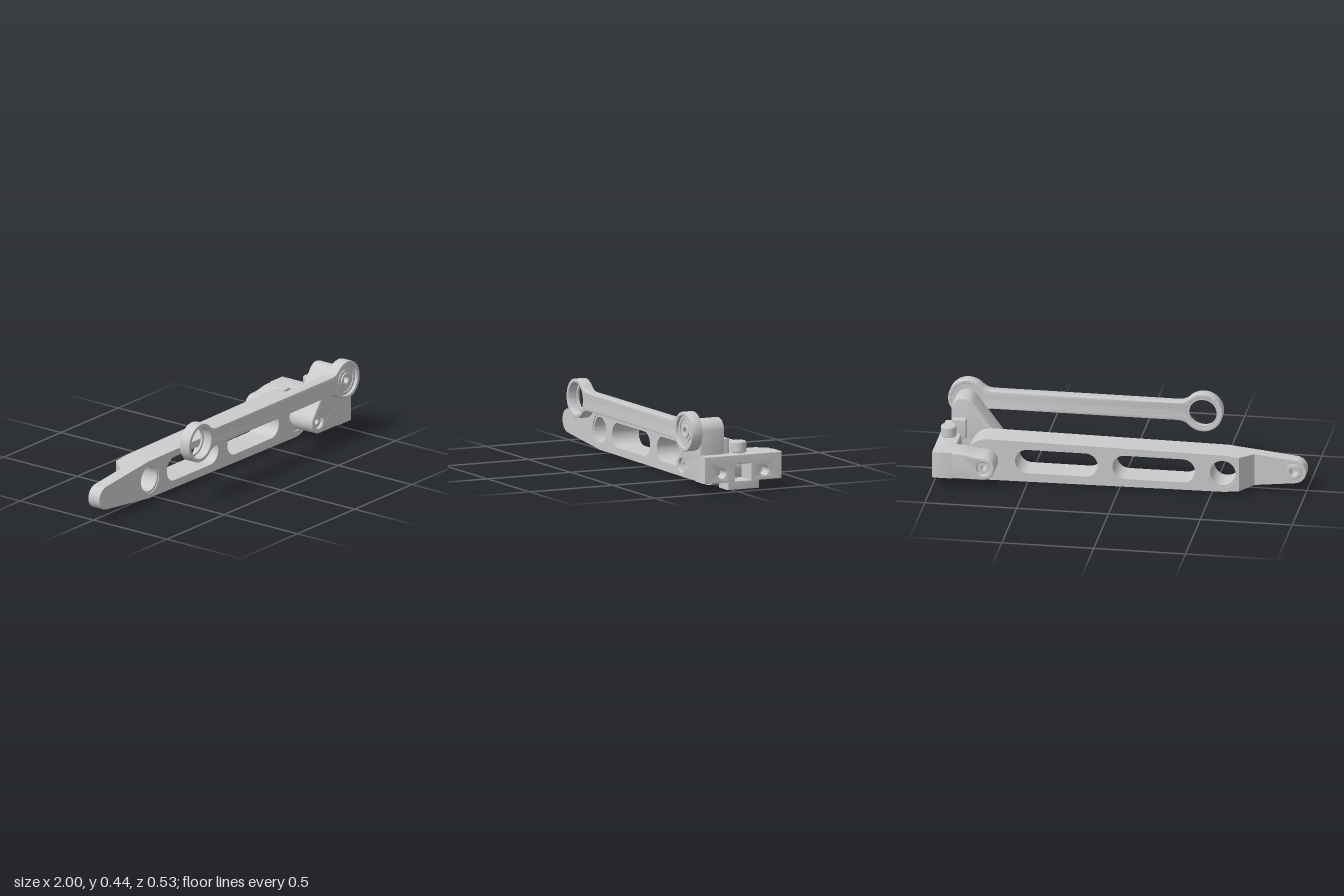
import * as THREE from 'three';
import { toCreasedNormals } from 'three/addons/utils/BufferGeometryUtils.js';

const material = new THREE.MeshStandardMaterial({ color: 0xcccccc });

export function createModel() {
  const model = new THREE.Group();
  const add = (name, geometry, parent = model) => {
    const mesh = new THREE.Mesh(toCreasedNormals(geometry, 0.5), material);
    mesh.name = name;
    parent.add(mesh);
    return mesh;
  };
  const group = (name) => {
    const g = new THREE.Group();
    g.name = name;
    model.add(g);
    return g;
  };
  const circle = (x, y, r) => new THREE.Path().absarc(x, y, r, 0, Math.PI * 2, true);
  const polygon = (pts) => new THREE.Shape(pts.map(([x, y]) => new THREE.Vector2(x, y)));

  // Plate between two depths, edges optionally softened inside its outline
  const plate = (shape, z0, z1, b = 0) => new THREE.ExtrudeGeometry(shape, {
    depth: z1 - z0 - 2 * b, bevelEnabled: b > 0, bevelSize: b, bevelThickness: b,
    bevelOffset: -b, bevelSegments: 3, curveSegments: 28,
  }).translate(0, 0, z0 + b);

  // Disc or tube along z
  const ring = (x, y, inner, outer, z0, z1, b = 0) => {
    const s = new THREE.Shape().absarc(x, y, outer, 0, Math.PI * 2, false);
    if (inner) s.holes.push(circle(x, y, inner));
    return plate(s, z0, z1, b);
  };

  // ---- Main arm ----
  const arm = group('mainArm');
  const cy = 0.118, back = -0.12, tipBack = -0.035, front = 0.04;
  const pivot = [0.72, 0.12], eye = [-0.56, 0.12];
  const body = new THREE.Shape();
  body.moveTo(-0.65, cy - 0.096);
  body.lineTo(-0.57, cy - 0.105);
  body.lineTo(pivot[0], cy - 0.117);
  body.absarc(pivot[0], cy, 0.117, -Math.PI / 2, Math.PI / 2, false);
  body.lineTo(-0.57, cy + 0.105);
  body.lineTo(-0.65, cy + 0.096);
  body.closePath();
  for (const [x0, x1] of [[-0.41, 0.04], [0.12, 0.57]]) {
    const r = 0.067, slot = new THREE.Path();
    slot.absarc(x1 - r, 0.12, r, -Math.PI / 2, Math.PI / 2, false);
    slot.absarc(x0 + r, 0.12, r, Math.PI / 2, Math.PI * 1.5, false);
    slot.closePath();
    body.holes.push(slot);
  }
  body.holes.push(circle(...eye, 0.083), circle(...pivot, 0.085));
  add('armBody', plate(body, back, front), arm);

  // Ramp from the thick body down to the thin tip
  const ramp = plate(polygon([[-0.72, cy - 0.089], [-0.65, cy - 0.096],
    [-0.65, cy + 0.096], [-0.72, cy + 0.089]]), back, front);
  const p = ramp.attributes.position;
  for (let i = 0; i < p.count; i++) {
    if (p.getX(i) < -0.7 && p.getZ(i) < 0) p.setZ(i, tipBack);
  }
  ramp.computeVertexNormals();
  add('armRamp', ramp, arm);

  // Thin tip with a blind hole in the back
  const tip = (hole) => {
    const s = new THREE.Shape();
    s.moveTo(-0.72, cy + 0.089);
    s.lineTo(-0.94, cy + 0.065);
    s.bezierCurveTo(-1.02, cy + 0.055, -1.02, cy - 0.055, -0.94, cy - 0.065);
    s.lineTo(-0.72, cy - 0.089);
    s.closePath();
    if (hole) s.holes.push(circle(-0.935, 0.12, 0.022));
    return s;
  };
  add('tipBack', plate(tip(true), tipBack, 0.02), arm);
  add('tipFront', plate(tip(false), 0.02, front), arm);
  add('tipBoss', ring(-0.935, 0.12, 0.022, 0.045, -0.046, tipBack, 0.003), arm);

  // Bushing, pivot bearing and hollow pivot pin
  add('eyeBushing', ring(...eye, 0.07, 0.084, back + 0.005, front - 0.005), arm);
  add('pivotBearing', ring(...pivot, 0.034, 0.086, back + 0.006, front - 0.006), arm);
  add('pivotPin', ring(...pivot, 0.016, 0.036, -0.25, 0.18), arm);
  add('frontWasher', ring(...pivot, 0.034, 0.05, 0.03, 0.055), arm);
  add('backWasher', ring(...pivot, 0.034, 0.05, -0.13, -0.11), arm);

  // ---- Bracket ----
  const bracket = group('bracket');
  // Crossbar outline runs along -z and is extruded along x
  const bar = polygon([[-0.198, 0.055], [-0.056, 0.055], [-0.056, 0.012], [0.132, 0.012],
    [0.132, 0.055], [0.267, 0.055], [0.267, 0.202], [-0.198, 0.202]]);
  bar.holes.push(circle(-0.095, 0.105, 0.025), circle(0.162, 0.105, 0.025));
  bar.holes.push(new THREE.Path([[-0.012, 0.06], [-0.012, 0.15], [0.08, 0.15], [0.08, 0.06]]
    .map(([x, y]) => new THREE.Vector2(x, y))));
  add('crossbar', plate(bar, 0.885, 1, 0.006).rotateY(Math.PI / 2), bracket);

  const cheek = new THREE.Shape();
  cheek.moveTo(0.93, 0.055);
  cheek.lineTo(0.93, 0.202);
  cheek.lineTo(0.86, 0.202);
  cheek.bezierCurveTo(0.81, 0.202, 0.79, 0.186, 0.725, 0.186);
  cheek.absarc(0.725, 0.1205, 0.0655, Math.PI / 2, Math.PI * 1.5, false);
  cheek.closePath();
  cheek.holes.push(circle(...pivot, 0.035));
  add('backCheek', plate(cheek, -0.267, -0.128, 0.008), bracket);

  // Front cheek rises into the lever that carries the link
  const lever = new THREE.Shape(), slope = Math.atan2(0.21, 0.16) + Math.PI / 2;
  lever.moveTo(0.93, 0.055);
  lever.lineTo(0.945, 0.2);
  lever.absarc(0.88, 0.33, 0.065, 0, slope, false);
  lever.absarc(0.725, 0.1205, 0.0655, slope, Math.PI * 1.5, false);
  lever.closePath();
  lever.holes.push(circle(...pivot, 0.035));
  add('frontLever', plate(lever, 0.05, 0.198, 0.008), bracket);
  add('stopTab', plate(polygon([[0.86, 0.17], [0.935, 0.17], [0.935, 0.282], [0.86, 0.282]]),
    0.017, 0.06, 0.006), bracket);

  // Clamp screw reaching down into the square socket
  const screw = [[0, 0.142], [0.021, 0.142], [0.021, 0.207], [0.037, 0.207], [0.042, 0.211],
    [0.042, 0.263], [0.037, 0.269], [0, 0.269]].map(([x, y]) => new THREE.Vector2(x, y));
  add('clampScrew', new THREE.LatheGeometry(screw, 40).translate(0.945, 0, -0.034), bracket);

  // ---- Upper link ----
  const link = group('upperLink');
  const ends = [[-0.4, 0.33], [0.88, 0.33]], R = 0.107, h = 0.05, a = 0.8;
  const [[xl, ly], [xr]] = ends;
  const dx = R * Math.cos(a), dy = R * Math.sin(a), run = 0.14;
  const outline = new THREE.Shape();
  outline.absarc(xl, ly, R, a, Math.PI * 2 - a, false);
  outline.quadraticCurveTo(xl + dx + 0.025, ly - h, xl + run, ly - h);
  outline.lineTo(xr - run, ly - h);
  outline.quadraticCurveTo(xr - dx - 0.025, ly - h, xr - dx, ly - dy);
  outline.absarc(xr, ly, R, Math.PI + a, Math.PI * 3 - a, false);
  outline.quadraticCurveTo(xr - dx - 0.025, ly + h, xr - run, ly + h);
  outline.lineTo(xl + run, ly + h);
  outline.quadraticCurveTo(xl + dx + 0.025, ly + h, xl + dx, ly + dy);
  for (const [x, y] of ends) {
    outline.holes.push(circle(x, y, 0.087));
    add('ringLip', ring(x, y, 0.075, 0.088, 0.205, 0.217), link);
  }
  add('linkBar', plate(outline, 0.203, 0.267, 0.003), link);

  // Bearing and socket-headed pin at the lever end
  add('bearingOuterRace', ring(xr, ly, 0.072, 0.088, 0.21, 0.25), link);
  add('bearingShield', ring(xr, ly, 0.05, 0.074, 0.212, 0.245), link);
  add('bearingInnerRace', ring(xr, ly, 0.036, 0.054, 0.21, 0.25), link);
  add('linkSpacer', ring(xr, ly, 0, 0.048, 0.19, 0.212), link);
  add('linkPinHead', ring(xr, ly, 0.02, 0.038, 0.2, 0.258, 0.003), link);
  return model;
}
